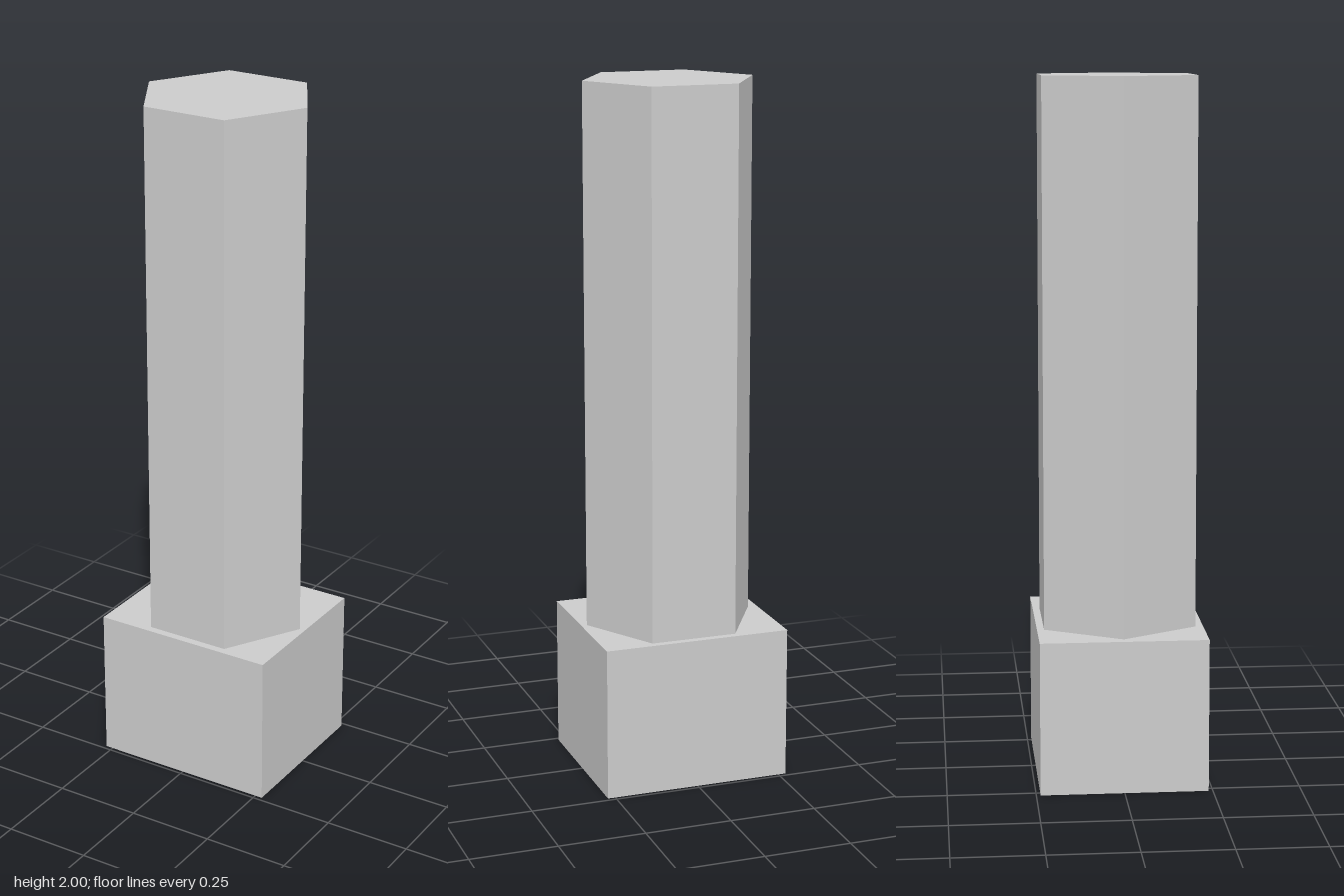
import * as THREE from 'three';

export function createModel() {
  const model = new THREE.Group();
  const material = new THREE.MeshStandardMaterial({ color: 0xcccccc, flatShading: true });
  const baseHeight = 0.44;
  const shaftHeight = 2 - baseHeight;

  const addPart = (name, geometry, x, y, z) => {
    const mesh = new THREE.Mesh(geometry, material);
    mesh.name = name;
    mesh.position.set(x, y, z);
    model.add(mesh);
  };

  // Rectangular block at the foot
  addPart('base', new THREE.BoxGeometry(0.544, baseHeight, 0.476), 0, baseHeight / 2, 0);

  // Hexagonal shaft with corners on the x axis, slightly off centre
  const shaft = new THREE.CylinderGeometry(0.25, 0.25, shaftHeight, 6, 1, false, Math.PI / 2);
  addPart('hexagonalShaft', shaft, 0.005, baseHeight + shaftHeight / 2, -0.001);

  return model;
}
